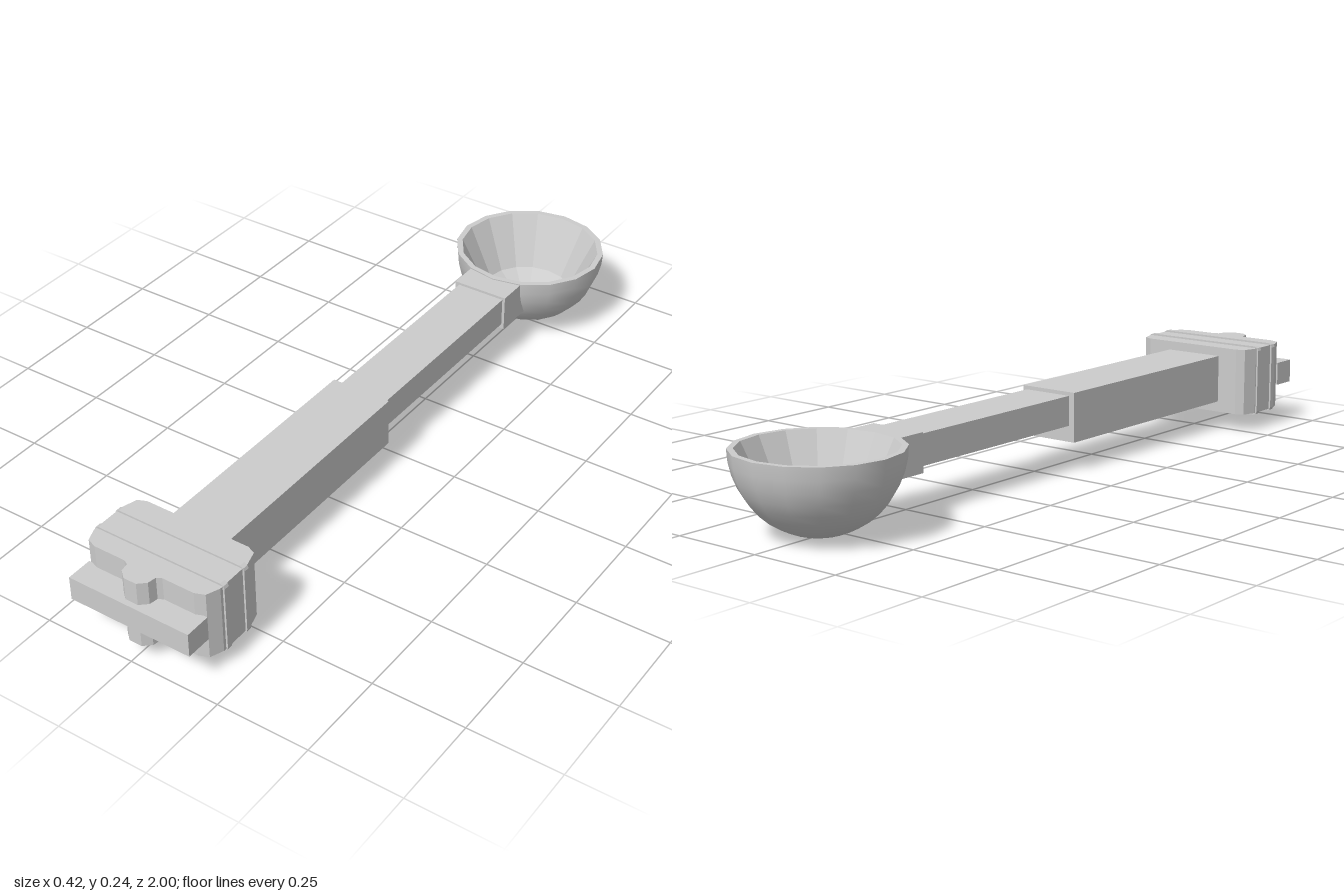
import * as THREE from 'three';

export function createModel() {
  const group = new THREE.Group();
  const flat = new THREE.MeshStandardMaterial({ color: 0xcccccc, flatShading: true });
  const smooth = new THREE.MeshStandardMaterial({ color: 0xcccccc });

  function add(name, geometry, material = flat) {
    const mesh = new THREE.Mesh(geometry, material);
    mesh.name = name;
    group.add(mesh);
    return mesh;
  }

  // Box given by its limits on each axis
  function box(name, x0, x1, y0, y1, z0, z1) {
    const g = new THREE.BoxGeometry(x1 - x0, y1 - y0, z1 - z0);
    g.translate((x0 + x1) / 2, (y0 + y1) / 2, (z0 + z1) / 2);
    return add(name, g);
  }

  // Two-step handle
  box('handle', -0.085, 0.085, 0.08, 0.213, 0.06, 0.75);
  box('neck', -0.068, 0.072, 0.123, 0.203, -0.54, 0.06);

  // Collar, its far end slanted to follow the bowl
  const collar = box('collar', -0.08, 0.08, 0.11, 0.21, -0.605, -0.523);
  const cp = collar.geometry.attributes.position;
  for (let i = 0; i < cp.count; i++) {
    if (cp.getZ(i) < -0.58 && cp.getY(i) < 0.15) cp.setZ(i, -0.632);
  }
  collar.geometry.computeVertexNormals();

  // Bowl: smooth outside, faceted inside, flat rim
  const R = 0.211, top = 0.213, sides = 16;
  const outer = [];
  for (let i = 0; i <= 10; i++) {
    const a = (i / 10) * Math.PI / 2;
    outer.push(new THREE.Vector2(R * Math.sin(a), top - R * Math.cos(a)));
  }
  const inner = [[0.195, top], [0.125, 0.07], [0.045, 0.025], [0, 0.021]]
    .map(([r, y]) => new THREE.Vector2(r, y));
  const rim = [new THREE.Vector2(R, top), new THREE.Vector2(0.195, top)];
  const bowl = new THREE.Group();
  bowl.name = 'bowl';
  bowl.position.z = -0.794;
  bowl.scale.z = 0.976;
  for (const [name, points, mat] of [
    ['bowlOutside', outer, smooth], ['bowlRim', rim, flat], ['bowlInside', inner, flat],
  ]) bowl.add(add(name, new THREE.LatheGeometry(points, sides), mat));
  group.add(bowl);

  // Head block with rounded corners and a round-nosed tab, extruded upwards
  const cx = 0.005, w = 0.184, zb = 0.742, zf = 0.937;
  const plan = new THREE.Shape();
  const outline = [
    [-w + 0.035, zb], [w - 0.035, zb], [w - 0.012, zb + 0.01], [w, zb + 0.05],
    [w, zf - 0.045], [w - 0.014, zf - 0.01], [w - 0.04, zf],
    [0.055, zf], [0.042, zf + 0.007], [0.038, zf + 0.03], [0.018, zf + 0.048],
    [-0.018, zf + 0.048], [-0.038, zf + 0.03], [-0.042, zf + 0.007], [-0.055, zf],
    [-w + 0.04, zf], [-w + 0.014, zf - 0.01], [-w, zf - 0.045],
    [-w, zb + 0.05], [-w + 0.012, zb + 0.01],
  ];
  plan.setFromPoints(outline.map(([x, z]) => new THREE.Vector2(x + cx, -z)));
  const head = new THREE.ExtrudeGeometry(plan, { depth: 0.188, bevelEnabled: false });
  head.rotateX(-Math.PI / 2);
  head.translate(0, 0.05, 0);
  add('headBlock', head);

  // Crossbar on the front of the head
  box('crossbar', -0.168, 0.178, 0.11, 0.175, 0.93, 1.0);

  // Two thin bands around the head
  const c = 0.012, hw = 0.189, y0 = 0.043, y1 = 0.243;
  const section = new THREE.Shape([
    [-hw + c, y0], [hw - c, y0], [hw - 0.003, y0 + 0.004], [hw, y0 + c],
    [hw, y1 - c], [hw - 0.003, y1 - 0.004], [hw - c, y1],
    [-hw + c, y1], [-hw + 0.003, y1 - 0.004], [-hw, y1 - c],
    [-hw, y0 + c], [-hw + 0.003, y0 + 0.004],
  ].map(([x, y]) => new THREE.Vector2(x + cx, y)));
  for (const z of [0.803, 0.876]) {
    const band = new THREE.ExtrudeGeometry(section, { depth: 0.016, bevelEnabled: false });
    band.translate(0, 0, z - 0.008);
    add('headBand', band);
  }

  return group;
}
